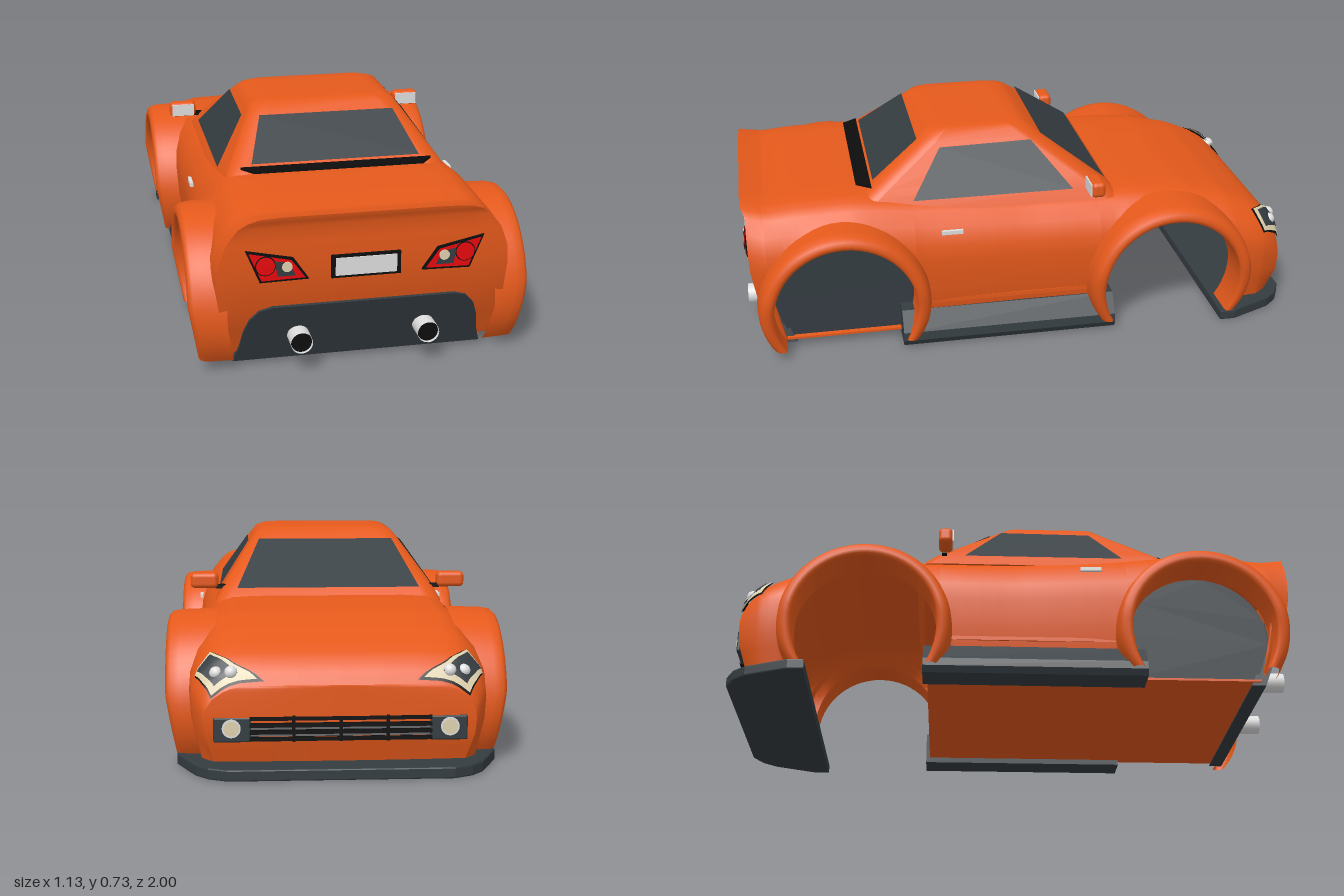
import * as THREE from 'three';
import { RoundedBoxGeometry } from 'three/addons/geometries/RoundedBoxGeometry.js';

const mat = (name, color, side = THREE.FrontSide) => {
  const m = new THREE.MeshStandardMaterial({ color, side });
  m.name = name;
  return m;
};

// piecewise linear lookup in rows of [key, value], keys ascending
function look(table, t) {
  if (t <= table[0][0]) return table[0][1];
  for (let i = 1; i < table.length; i++) {
    const [a, va] = table[i - 1], [b, vb] = table[i];
    if (t <= b) return va + (vb - va) * (t - a) / (b - a);
  }
  return table[table.length - 1][1];
}

// surface from a grid of points; cells may be left out
function grid(nu, nv, point, skip = () => false) {
  const pos = [], idx = [];
  for (let i = 0; i <= nu; i++) for (let j = 0; j <= nv; j++) pos.push(...point(i, j));
  for (let i = 0; i < nu; i++) for (let j = 0; j < nv; j++) {
    if (skip(i, j)) continue;
    const a = i * (nv + 1) + j, b = a + nv + 1;
    idx.push(a, b, a + 1, b, b + 1, a + 1);
  }
  const g = new THREE.BufferGeometry();
  g.setAttribute('position', new THREE.Float32BufferAttribute(pos, 3));
  g.setIndex(idx);
  g.computeVertexNormals();
  return g;
}

const outline = pts => new THREE.Shape(pts.map(p => new THREE.Vector2(...p)));
const plate = (pts, depth) => new THREE.ExtrudeGeometry(outline(pts), { depth, bevelEnabled: false });
const disc = (r, h) => new THREE.CylinderGeometry(r, r, h, 24).rotateX(Math.PI / 2);

// body shell rules
const ARCHES = [0.66, -0.52], ARCH_Y = 0.18, ARCH_R = 0.255;
const TOP = [[-0.96, 0.3], [-0.94, 0.34], [-0.9, 0.38], [-0.85, 0.41], [-0.75, 0.452], [-0.6, 0.487],
  [-0.4, 0.503], [0, 0.505], [0.35, 0.525], [0.6, 0.55], [0.8, 0.545], [0.9, 0.535], [0.94, 0.543], [0.97, 0.552]];
const WIDTH = [[-0.96, 0.435], [-0.93, 0.455], [-0.88, 0.478], [-0.8, 0.488], [-0.5, 0.485], [0, 0.478],
  [0.5, 0.487], [0.9, 0.49], [0.97, 0.475]];
const REAR = [[0.03, 0.88], [0.25, 0.97], [0.35, 0.98], [0.45, 0.983], [0.515, 0.983], [0.53, 0.994], [0.552, 1]];
const SECTION = [[0, 0], [0.3, 0], [0.55, 0], [0.72, 0.004], [0.8, 0.016], [0.86, 0.036], [0.94, 0.08],
  [0.99, 0.14], [1, 0.2], [0.99, 0.3], [0.96, 0.38], [0.93, 0.46]];
const K = SECTION.length - 1;

function skin(z, k) {
  const s = Math.sign(k), a = Math.abs(k), i = Math.min(Math.floor(a), K - 1), f = a - i;
  const fx = SECTION[i][0] * (1 - f) + SECTION[i + 1][0] * f;
  const dy = SECTION[i][1] * (1 - f) + SECTION[i + 1][1] * f;
  const top = look(TOP, z);
  let y = top - dy * (top - 0.05) / 0.46;
  for (const c of ARCHES) {
    const d = Math.abs(z - c);
    if (d < ARCH_R) y = Math.max(y, ARCH_Y + Math.sqrt(ARCH_R ** 2 - d * d));
  }
  let zz = z;
  if (z > 0.85) zz += (look(REAR, y) - 0.97) * (z - 0.85) / 0.12;
  if (z < -0.88) zz += 0.03 * Math.max(0, (0.15 - y) / 0.1) * (-z - 0.88) / 0.08;
  return [s * fx * look(WIDTH, z), y, zz];
}

export function createModel() {
  const car = new THREE.Group();
  car.name = 'carBody';
  const paint = mat('orangePaint', 0xe5591b, THREE.DoubleSide);
  const trim = mat('charcoalTrim', 0x343c41, THREE.DoubleSide);
  const black = mat('black', 0x0d0d0d, THREE.DoubleSide);
  const silver = mat('lightGrey', 0xdedede, THREE.DoubleSide);
  const red = mat('redLens', 0xf20a0e);
  const cream = mat('creamLens', 0xdfd2ae, THREE.DoubleSide);
  const add = (name, geo, material, x = 0, y = 0, z = 0) => {
    const m = new THREE.Mesh(geo, material);
    m.name = name;
    m.position.set(x, y, z);
    car.add(m);
  };
  const box = (name, w, h, d, material, x, y, z) => add(name, new THREE.BoxGeometry(w, h, d), material, x, y, z);

  // main shell, with extra stations around the wheel arches
  const stations = [-0.96, -0.95, -0.94, -0.92, -0.9, -0.88, -0.85, -0.82, 0.93, 0.95, 0.97];
  for (let z = -0.24; z < 0.4; z += 0.06) stations.push(z);
  for (const c of ARCHES) {
    stations.push(c - ARCH_R - 0.001, c + ARCH_R + 0.001);
    for (let i = 0; i <= 20; i++) stations.push(c - 0.9999 * ARCH_R * Math.cos(Math.PI * i / 20));
  }
  stations.sort((a, b) => a - b);
  add('bodyShell', grid(stations.length - 1, 2 * K, (i, j) => skin(stations[i], j - K)), paint);

  // end panels; the nose keeps an open grille
  const panel = (z, bulge, skip) => grid(K, 12, (i, j) => {
    const p = skin(z, i), t = (j - 6) / 6;
    return [p[0] * t, p[1], p[2] + bulge * (1 - t * t)];
  }, skip);
  add('rearPanel', panel(0.97, 0), paint);
  add('nosePanel', panel(-0.96, -0.01, (i, j) => {
    const y = (skin(-0.96, i)[1] + skin(-0.96, i + 1)[1]) / 2;
    return y > 0.12 && y < 0.205 && j >= 2 && j < 10;
  }), paint);
  box('floor', 0.85, 0.008, 1.17, paint, 0, 0.032, 0.285);

  // cabin: rounded rectangles of [y, halfWidth, zFront, zRear]
  const levels = [[0.48, 0.41, -0.35, 0.62], [0.53, 0.385, -0.3, 0.58], [0.56, 0.365, -0.258, 0.54],
    [0.69, 0.277, -0.074, 0.361], [0.715, 0.257, -0.04, 0.335], [0.727, 0.23, -0.01, 0.305],
    [0.73, 0.19, 0.03, 0.27], [0.73, 0, 0.15, 0.15]];
  add('cabin', grid(levels.length - 1, 24, (i, j) => {
    const [y, w, z0, z1] = levels[i], n = j % 24, q = Math.floor(n / 6), r = Math.min(0.06, w);
    const a = (q + (n % 6) / 5) * Math.PI / 2, hz = (z1 - z0) / 2;
    const sx = q === 0 || q === 3 ? 1 : -1, sz = q < 2 ? 1 : -1;
    return [sx * (w - r) + r * Math.cos(a), y, (z0 + z1) / 2 + sz * Math.max(hz - r, 0) + Math.min(r, hz) * Math.sin(a)];
  }), paint);

  // windows lie just off the cabin faces
  const pane = (name, a, b, c, d) => add(name, grid(1, 1, (i, j) => [[a, b], [d, c]][i][j]), trim);
  const zf = y => -0.306 + (y - 0.53) * 1.41, zr = y => 0.587 - (y - 0.53) * 1.37;
  const sideX = y => 0.391 - (y - 0.53) * 0.677;
  pane('windshield', [-0.33, 0.53, zf(0.53)], [0.33, 0.53, zf(0.53)], [0.25, 0.688, zf(0.688)], [-0.25, 0.688, zf(0.688)]);
  pane('rearWindow', [-0.295, 0.57, zr(0.57)], [0.295, 0.57, zr(0.57)], [0.24, 0.692, zr(0.692)], [-0.24, 0.692, zr(0.692)]);

  // black vent panel below the rear window
  const vent = plate([[-0.335, 0.54], [0.335, 0.54], [0.295, 0.592], [-0.295, 0.592]], 0.009);
  add('rearVent', vent.rotateX(Math.PI / 2), black, 0, 0.564, 0);

  // front splitter
  const half = [[0.525, -0.72], [0.525, -0.77], [0.495, -0.84], [0.46, -0.92], [0.42, -0.965], [0.36, -0.995]];
  const splitter = new THREE.ExtrudeGeometry(
    outline([...half, ...half.map(([x, z]) => [-x, z]).reverse()]),
    { depth: 0.028, bevelSize: 0.005, bevelThickness: 0.005, bevelSegments: 2 });
  add('frontSplitter', splitter.rotateX(Math.PI / 2), trim, 0, 0.034, 0);

  // grille bars
  for (const y of [0.13, 0.152, 0.174, 0.196]) box('grilleSlat', 0.58, 0.012, 0.016, black, 0, y, -0.965);
  for (const x of [-0.15, 0, 0.15]) box('grillePost', 0.01, 0.085, 0.012, black, x, 0.163, -0.963);

  // rear diffuser follows the slope of the rear panel
  const arc = [[0.42, 0.015], [0.4, 0.08], [0.39, 0.14], [0.372, 0.19], [0.342, 0.225], [0.3, 0.237]];
  const diffuser = plate([...arc, ...arc.map(([x, y]) => [-x, y]).reverse()], 0.05);
  const dp = diffuser.attributes.position;
  for (let i = 0; i < dp.count; i++) dp.setZ(i, dp.getZ(i) - 0.038 + 0.88 + (dp.getY(i) - 0.03) * 0.41);
  diffuser.computeVertexNormals();
  add('rearDiffuser', diffuser, trim);

  // number plate
  box('plateFrame', 0.226, 0.077, 0.014, black, 0, 0.369, 0.984);
  box('plate', 0.2, 0.06, 0.006, silver, 0, 0.369, 0.991);

  for (const s of [1, -1]) {
    // side windows, door ribs and handles
    pane('sideWindow', ...[[0.4, 0.522], [-0.175, 0.522], [-0.04, 0.68], [0.29, 0.675]].map(([z, y]) => [s * sideX(y), y, z]));
    box('doorHandle', 0.012, 0.014, 0.075, silver, s * 0.479, 0.43, 0.275);
    box('doorRib', 0.012, 0.014, 0.62, paint, s * 0.463, 0.157, 0.07);

    // mirrors
    add('mirror', new RoundedBoxGeometry(0.1, 0.056, 0.05, 3, 0.016), paint, s * 0.45, 0.552, -0.245);
    box('mirrorGlass', 0.084, 0.044, 0.005, silver, s * 0.45, 0.552, -0.219);
    box('mirrorArm', 0.05, 0.015, 0.018, black, s * 0.385, 0.53, -0.25);

    // sills
    const sill = plate([[0.4, 0.008], [0.505, 0.008], [0.517, 0.03], [0.512, 0.06], [0.465, 0.127], [0.4, 0.127]].map(([x, y]) => [s * x, y]), 0.775);
    add('sill', sill, trim, 0, 0, -0.315);

    // flared wheel arches: a profile of [radius, x] swept round each opening
    const prof = [[0.25, 0.43], [0.25, 0.553], [0.256, 0.563], [0.268, 0.566], [0.284, 0.562], [0.296, 0.55], [0.302, 0.52], [0.306, 0.455]];
    for (const c of ARCHES) add('wheelArch', grid(40, prof.length - 1, (i, j) => {
      const a = (-32 + 244 * i / 40) * Math.PI / 180, [r, x] = prof[j];
      const y = ARCH_Y + (Math.sin(a) < 0 ? 0.27 : r) * Math.sin(a);
      const reach = j === prof.length - 1 ? 0.06 * Math.max(0, Math.sin(a)) : 0;
      return [s * (x - reach - Math.max(0, 0.24 - y) * 0.17), y, c + r * Math.cos(a)];
    }), paint);

    // inner walls of the rear wheel wells
    const well = new THREE.Shape();
    well.moveTo(-0.86, 0.036);
    well.lineTo(-0.91, ARCH_Y);
    well.absarc(-0.66, ARCH_Y, 0.255, Math.PI, 0, true);
    well.lineTo(-0.4, 0.036);
    const wall = new THREE.ExtrudeGeometry(well, { depth: 0.04, bevelEnabled: false }).rotateY(Math.PI / 2);
    add('rearWheelWell', wall, trim, s > 0 ? 0.365 : -0.405, 0, 0);

    // tail lights
    const flip = pts => pts.map(([x, y]) => [s * x, y]);
    add('tailLightRim', plate(flip([[0.185, 0.335], [0.343, 0.332], [0.388, 0.443], [0.235, 0.41]]), 0.012), black, 0, 0, 0.977);
    add('tailLight', plate(flip([[0.197, 0.342], [0.338, 0.339], [0.378, 0.434], [0.241, 0.403]]), 0.006), red, 0, 0, 0.986);
    add('tailLightInset', plate(flip([[0.228, 0.352], [0.286, 0.352], [0.296, 0.404], [0.25, 0.396]]), 0.004), trim, 0, 0, 0.99);
    add('brakeLampRing', disc(0.033, 0.004), black, s * 0.325, 0.39, 0.992);
    add('brakeLamp', disc(0.03, 0.006), red, s * 0.325, 0.39, 0.993);
    add('reverseLamp', disc(0.017, 0.006), cream, s * 0.256, 0.383, 0.993);

    // exhausts
    add('exhaustPipe', new THREE.CylinderGeometry(0.036, 0.036, 0.09, 24, 1, true).rotateX(Math.PI / 2), silver, s * 0.21, 0.115, 0.954);
    add('exhaustBore', disc(0.034, 0.01), black, s * 0.21, 0.115, 0.985);

    // headlights: layered bands sweeping from the fender to a tip on the nose
    const mix = THREE.MathUtils.lerp;
    const onLight = (u, v) => skin(mix(mix(-0.843, -0.955, u), mix(-0.88, -0.96, u), v), s * mix(mix(4.9, 2, u), mix(6.5, 6, u), v));
    const patch = (m, n, off) => grid(10, 8, (i, j) => {
      const p = onLight(m + (1 - 2 * m) * i / 10, n + (1 - 2 * n) * j / 8);
      return [p[0] + s * off * 0.5, p[1] + off, p[2] - off];
    });
    add('headlightRim', patch(0, 0, 0.005), black);
    add('headlightBezel', patch(0.03, 0.04, 0.008), cream);
    add('headlightInset', patch(0.12, 0.17, 0.011), trim);
    for (const [u, v] of [[0.8, 0.3], [0.62, 0.62]]) {
      const [x, y, z] = onLight(u, v);
      add('headlamp', new THREE.SphereGeometry(0.022, 16, 10), silver, x, y + 0.004, z - 0.004);
    }

    // fog lamps in dark corner pockets
    add('fogPocket', new RoundedBoxGeometry(0.12, 0.08, 0.014, 3, 0.006), trim, s * 0.345, 0.16, -0.961);
    add('fogLampRing', disc(0.03, 0.014), silver, s * 0.348, 0.165, -0.964);
    add('fogLamp', disc(0.024, 0.02), cream, s * 0.348, 0.165, -0.965);
  }
  return car;
}
